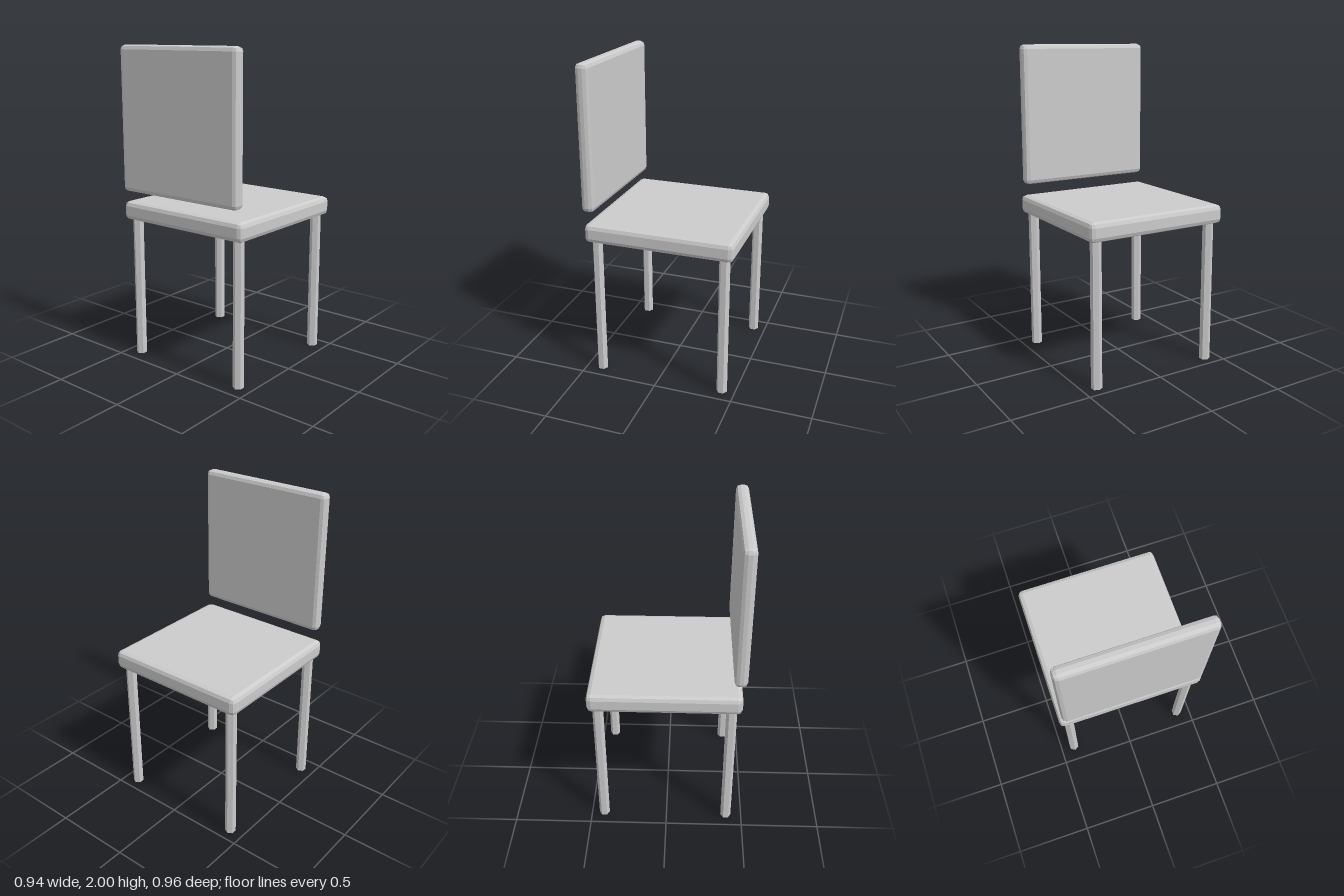
import * as THREE from 'three';
import { RoundedBoxGeometry } from 'three/addons/geometries/RoundedBoxGeometry.js';

const material = new THREE.MeshStandardMaterial({ color: 0xcccccc, flatShading: true });

function addPart(group, name, geometry, x, y, z) {
  const mesh = new THREE.Mesh(geometry, material);
  mesh.name = name;
  mesh.position.set(x, y, z);
  group.add(mesh);
}

export function createModel() {
  const chair = new THREE.Group();
  chair.name = 'chair';
  const seatZ = -0.01;

  // Cushion-like slabs with two-step rounded edges
  addPart(chair, 'seat', new RoundedBoxGeometry(0.94, 0.12, 0.94, 1, 0.03), 0, 0.97, seatZ);
  addPart(chair, 'backrest', new RoundedBoxGeometry(0.9, 0.9, 0.08, 1, 0.028), 0, 1.55, 0.441);

  // Four hexagonal legs under the seat corners
  const legHeight = 0.92;
  const legGeometry = new THREE.CylinderGeometry(0.034, 0.034, legHeight, 6);
  const legOffset = 0.407;
  for (const sx of [1, -1]) {
    for (const sz of [1, -1]) {
      const name = (sz > 0 ? 'front' : 'back') + (sx > 0 ? 'Left' : 'Right') + 'Leg';
      addPart(chair, name, legGeometry, sx * legOffset, legHeight / 2, seatZ + sz * legOffset);
    }
  }
  return chair;
}
